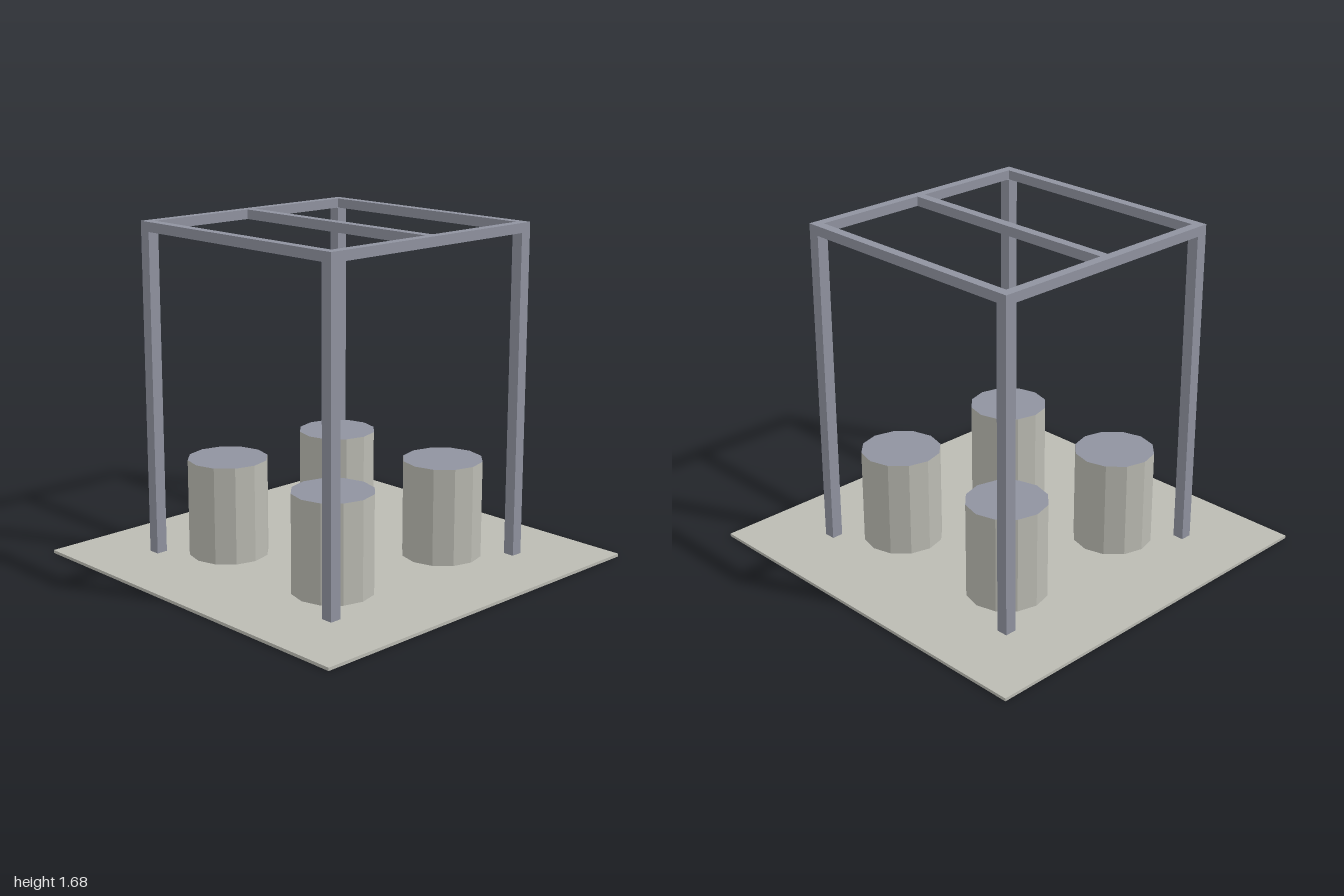
import * as THREE from 'three';

export function createModel() {
  const model = new THREE.Group();
  const concrete = new THREE.MeshStandardMaterial({ color: 0xbbbbb3 });
  concrete.name = 'warm grey';
  concrete.flatShading = true;
  const steel = new THREE.MeshStandardMaterial({ color: 0x9093a0 });
  steel.name = 'steel grey';

  const add = (name, geometry, material, x, y, z) => {
    const mesh = new THREE.Mesh(geometry, material);
    mesh.name = name;
    mesh.position.set(x, y, z);
    model.add(mesh);
  };
  const box = (name, material, w, h, d, x, y, z) =>
    add(name, new THREE.BoxGeometry(w, h, d), material, x, y, z);

  // Ground slab
  box('basePlate', concrete, 2, 0.015, 2, 0, 0.0075, 0);

  // Twelve-sided drums with steel lids, and the corner posts
  const drumHeight = 0.49, postSize = 0.058, outer = 0.655, postTop = 1.63;
  const drum = new THREE.CylinderGeometry(0.2, 0.2, drumHeight, 12);
  for (const sx of [-1, 1]) {
    for (const sz of [-1, 1]) {
      add('drum', drum, [concrete, steel, concrete], sx * 0.375, 0.015 + drumHeight / 2, sz * 0.375);
      const p = outer - postSize / 2;
      box('post', steel, postSize, postTop - 0.005, postSize, sx * p, (postTop + 0.005) / 2, sz * p);
    }
  }

  // Top frame: two full-width beams, two side beams and a middle beam
  const beam = 0.048, beamY = postTop + beam / 2, p = outer - beam / 2;
  const innerLength = 2 * (outer - beam);
  for (const s of [-1, 1]) {
    box('crossBeam', steel, 2 * outer, beam, beam, 0, beamY, s * p);
    box('sideBeam', steel, beam, beam, innerLength, s * p, beamY, 0);
  }
  box('middleBeam', steel, beam, beam, innerLength, 0, beamY, 0);

  return model;
}
